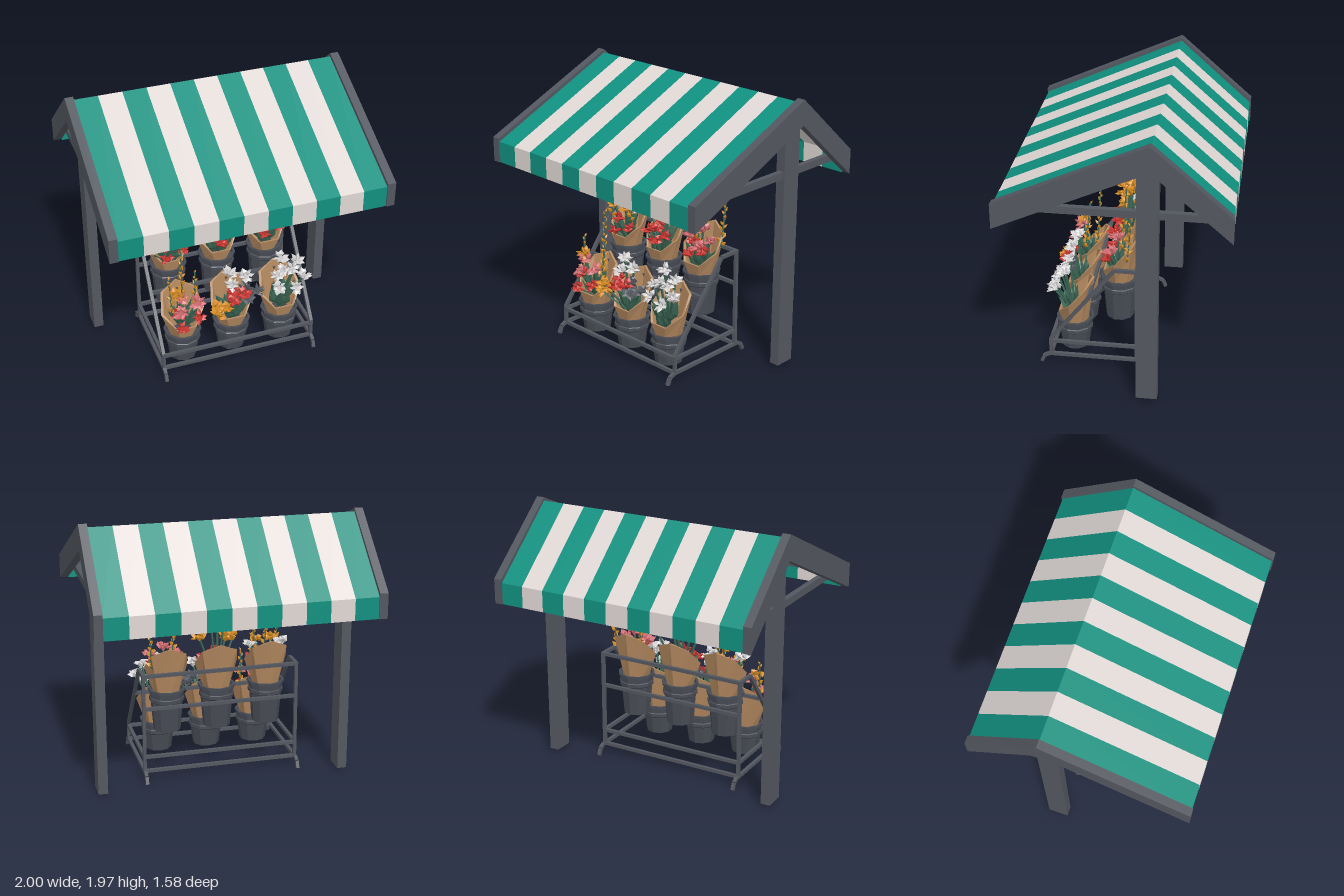
import * as THREE from 'three';
import { mergeGeometries } from 'three/addons/utils/BufferGeometryUtils.js';

const V = (x, y, z) => new THREE.Vector3(x, y, z);

function named(name, color) {
  const m = new THREE.MeshStandardMaterial({ color });
  m.name = name;
  return m;
}

// faceted normals, position and normal only, so pieces can be merged
function flat(g) {
  const f = g.index ? g.toNonIndexed() : g;
  f.deleteAttribute('uv');
  f.computeVertexNormals();
  return f;
}

// square bar between two points
function bar(a, b, w, h = w) {
  const d = b.clone().sub(a);
  const g = new THREE.BoxGeometry(w, h, d.length());
  g.applyQuaternion(new THREE.Quaternion().setFromUnitVectors(V(0, 0, 1), d.normalize()));
  const c = a.clone().add(b).multiplyScalar(0.5);
  return flat(g.translate(c.x, c.y, c.z));
}

// gable band of a given thickness, extruded along x
function gableBand(eaveZ, bottom, eaveTop, ridge, thick, drop, x0, x1) {
  const shape = new THREE.Shape();
  shape.moveTo(eaveZ, bottom).lineTo(eaveZ, eaveTop).lineTo(-0.25, ridge).lineTo(-eaveZ, eaveTop).lineTo(-eaveZ, bottom);
  if (thick) shape.lineTo(thick - eaveZ, bottom).lineTo(thick - eaveZ, eaveTop - drop);
  shape.lineTo(-0.25, ridge - drop);
  if (thick) shape.lineTo(eaveZ - thick, eaveTop - drop).lineTo(eaveZ - thick, bottom);
  const g = new THREE.ExtrudeGeometry(shape, { depth: x1 - x0, bevelEnabled: false });
  return flat(g.rotateY(-Math.PI / 2).translate(x1, 0, 0));
}

// skin over closed rings of equal length
function loft(rings) {
  const n = rings[0].length, index = [];
  for (let r = 0; r < rings.length - 1; r++) for (let i = 0; i < n; i++) {
    const a = r * n + i, b = r * n + (i + 1) % n;
    index.push(a, b, b + n, a, b + n, a + n);
  }
  const g = new THREE.BufferGeometry().setFromPoints(rings.flat());
  g.setIndex(index);
  return flat(g);
}

export function createModel() {
  const model = new THREE.Group();
  model.name = 'flowerStall';
  const M = {
    teal: named('teal canvas', 0x10907f), cream: named('cream canvas', 0xe0d8d5),
    frame: named('slate frame', 0x53575f), pot: named('dark pot', 0x484c55),
    kraft: named('kraft paper', 0xb58a60), leaf: named('leaf green', 0x3c6856),
    gold: named('gold petal', 0xd68c22), red: named('red petal', 0xc8342f),
    pink: named('pink petal', 0xd06c70), white: named('white petal', 0xd6d4d5),
  };
  let seed = 7;
  const rnd = () => (seed = (seed * 16807) % 2147483647) / 2147483647;
  const jit = s => (rnd() - 0.5) * 2 * s;
  const add = (parent, name, geo, mat) => {
    const mesh = new THREE.Mesh(geo, mat);
    mesh.name = name;
    parent.add(mesh);
  };

  // striped canopy with valances
  const stripes = { teal: [], cream: [] }, sw = 1.88 / 11;
  for (let i = 0; i < 11; i++) {
    const x = -0.94 + i * sw;
    stripes[i % 2 ? 'cream' : 'teal'].push(gableBand(0.78, 1.32, 1.475, 1.945, 0.008, 0.009, x, x + sw));
  }
  for (const c in stripes) add(model, c + 'CanopyStripes', mergeGeometries(stripes[c]), M[c]);

  // gable boards, posts and ties on both sides
  for (const s of [1, -1]) {
    const side = s > 0 ? 'left' : 'right';
    add(model, side + 'GableBoard', gableBand(0.788, 1.32, 1.5, 1.97, 0, 0.18, s * 0.97 - 0.03, s * 0.97 + 0.03), M.frame);
    const post = new THREE.BoxGeometry(0.07, 1.84, 0.148).translate(s * 0.895, 0.935, -0.227);
    add(model, side + 'Post', flat(post), M.frame);
    add(model, side + 'Tie', bar(V(s * 0.9, 1.447, 0.76), V(s * 0.9, 1.447, -0.76), 0.04, 0.052), M.frame);
  }
  add(model, 'frontEaveRail', bar(V(-0.94, 1.44, 0.75), V(0.94, 1.44, 0.75), 0.035), M.frame);

  // display rack: two side frames joined by cross bars
  const rack = [], left = 0.555, right = -0.585, tube = 0.024;
  for (const x of [left, right]) {
    const run = (...pts) => pts.slice(1).forEach(([z, y], i) =>
      rack.push(bar(V(x, pts[i][1], pts[i][0]), V(x, y, z), tube)));
    run([0.58, 0], [0.56, 0.05], [0.515, 0.07], [-0.135, 0.07], [-0.175, 0.05], [-0.195, 0]);
    run([0.51, 0.06], [0.51, 0.2], [0.045, 0.8], [-0.12, 0.8]);
    run([-0.11, 0.81], [-0.11, 0.18], [0.51, 0.18]);
    run([-0.11, 0.18], [-0.11, 0.06]);
  }
  const cross = (y, z) => rack.push(bar(V(right, y, z), V(left, y, z), tube));
  for (const y of [0.07, 0.18, 0.55, 0.8]) cross(y, -0.11);
  for (const y of [0.07, 0.18]) cross(y, 0.51);
  cross(0.55, 0.235);
  add(model, 'rack', mergeGeometries(rack), M.frame);

  // tapered pot with a flared rim and band; its top is at y = 0
  const potGeometry = h => flat(new THREE.LatheGeometry([
    [0, -h], [0.1, -h], [0.118, -0.1], [0.13, -0.09], [0.13, -0.065], [0.123, -0.06],
    [0.127, -0.02], [0.138, -0.018], [0.138, 0], [0.122, 0], [0.115, -0.025], [0, -0.025],
  ].map(p => new THREE.Vector2(...p)), 10));

  // paper cone cut low at the front and peaked at the back
  const ring = (r, rim) => Array.from({ length: 7 }, (_, i) => {
    const a = Math.PI + i * Math.PI * 2 / 7, c = Math.cos(a);
    return rim ? V(Math.sin(a) * 0.165 * r, 0.195 - 0.14 * c, -0.012 + 0.135 * c * r)
      : V(Math.sin(a) * r, -0.03, c * r);
  });
  const paper = loft([ring(0.095), ring(1, true), ring(0.88, true), ring(0.08)]);

  // one pointed piece, scaled, turned along a direction and placed
  const shard = (p, dir, wid, thick, len) => {
    const g = new THREE.OctahedronGeometry(1).scale(wid, thick, len).rotateZ(jit(0.6));
    g.applyQuaternion(new THREE.Quaternion().setFromUnitVectors(V(0, 0, 1), dir.clone().normalize()));
    return flat(g.translate(p.x, p.y, p.z));
  };
  const bloom = (p, r) => {
    const out = [shard(p, V(0, 1, 0.3), r * 0.42, r * 0.42, r * 0.5)];
    const q = new THREE.Quaternion().setFromEuler(new THREE.Euler(0.5 + jit(0.3), jit(1), jit(0.4)));
    for (let i = 0; i < 7; i++) {
      const a = i * Math.PI * 2 / 7 + jit(0.25);
      const d = V(Math.cos(a), 0.45 + jit(0.5), Math.sin(a)).applyQuaternion(q).normalize();
      out.push(shard(p.clone().addScaledVector(d, r * 0.55), d, r * 0.42, r * 0.22, r * 0.5));
    }
    return out;
  };
  const spike = (a, b) => {
    const out = [], n = Math.round(a.distanceTo(b) / 0.026);
    for (let i = 0; i <= n; i++) {
      const t = i / n, s = 0.034 - 0.016 * t;
      const d = V(Math.cos(i * 2.4), 0.7 + t, Math.sin(i * 2.4)).normalize();
      out.push(shard(a.clone().lerp(b, t).addScaledVector(d, s * 0.6), d, s * 0.55, s * 0.45, s));
    }
    return out;
  };

  // potted bouquet; spikes are [x, top, z], clusters are [colour, count, x, y, z, spread]
  const label = { leaf: 'leavesAndStems', gold: 'goldBlooms', red: 'redBlooms', pink: 'pinkBlooms', white: 'whiteBlooms', frame: 'darkBlooms' };
  const bouquet = (upper, column, spikes, clusters) => {
    const g = new THREE.Group(), parts = { leaf: [] }, root = V(0, 0, 0);
    g.name = 'pottedBouquet';
    g.position.set(-0.02 + column * 0.375, upper ? 0.65 : 0.285, upper ? 0.035 : 0.365);
    add(g, 'pot', potGeometry(upper ? 0.32 : 0.235), M.pot);
    add(g, 'paperWrap', paper, M.kraft);
    for (const [x, top, z] of spikes) {
      const base = V(x, 0.2, z + 0.03), tip = V(x * 1.1, top, z);
      (parts.gold ||= []).push(...spike(base, tip));
      parts.leaf.push(bar(root, base, 0.012), bar(base, tip, 0.01));
    }
    for (const [c, n, x, y, z, spread] of clusters) for (let i = 0; i < n; i++) {
      const a = i * Math.PI * 2 / n, s = Math.sin(a) * spread;
      const p = V(x + Math.cos(a) * spread, y + s * 0.6, z - s * 0.3);
      (parts[c] ||= []).push(...bloom(p, 0.062 + jit(0.006)));
      parts.leaf.push(bar(root, p, 0.012));
    }
    // leaves fanned out inside the wrap
    for (let i = 0; i < 14; i++) {
      const a = i * 2.4, k = 0.5 + 0.5 * rnd();
      const p = V(Math.sin(a) * 0.09 * k, 0.12 + jit(0.04) - 0.03 * Math.cos(a), 0.025 + Math.cos(a) * 0.06 * k);
      parts.leaf.push(shard(p, p.clone().setY(0.13), 0.034, 0.014, 0.085));
    }
    for (const c in parts) add(g, label[c], mergeGeometries(parts[c]), M[c]);
    model.add(g);
  };

  // upper row
  bouquet(true, -1, [[0.01, 0.56, -0.03], [-0.09, 0.4, 0.05], [0.08, 0.42, 0.02]],
    [['gold', 2, 0, 0.29, 0.08, 0.06], ['white', 2, 0, 0.27, 0.01, 0.12], ['red', 3, 0.01, 0.14, 0.08, 0.09]]);
  bouquet(true, 0, [],
    [['gold', 4, 0, 0.49, -0.03, 0.05], ['gold', 2, -0.1, 0.34, 0.02, 0.03], ['gold', 1, 0.15, 0.39, -0.08, 0], ['red', 4, 0, 0.18, 0.07, 0.085]]);
  bouquet(true, 1, [[-0.045, 0.66, -0.04], [0.125, 0.55, -0.1]],
    [['pink', 4, 0.02, 0.25, 0.04, 0.095], ['red', 3, 0, 0.17, 0.07, 0.08]]);
  // lower row
  bouquet(false, -1, [[0.02, 0.67, -0.08], [-0.09, 0.47, 0.02], [0.09, 0.48, 0]],
    [['pink', 3, 0, 0.28, 0.1, 0.085], ['red', 3, 0, 0.16, 0.12, 0.09], ['gold', 1, -0.06, 0.35, 0.06, 0]]);
  bouquet(false, 0, [],
    [['white', 3, 0.01, 0.39, 0.06, 0.075], ['red', 3, 0, 0.27, 0.11, 0.06], ['gold', 3, -0.13, 0.2, 0.14, 0.045], ['frame', 3, 0.11, 0.25, 0.08, 0.055]]);
  bouquet(false, 1, [],
    [['white', 5, 0.03, 0.32, 0.11, 0.11], ['white', 3, 0.03, 0.42, 0.05, 0.08]]);
  return model;
}
